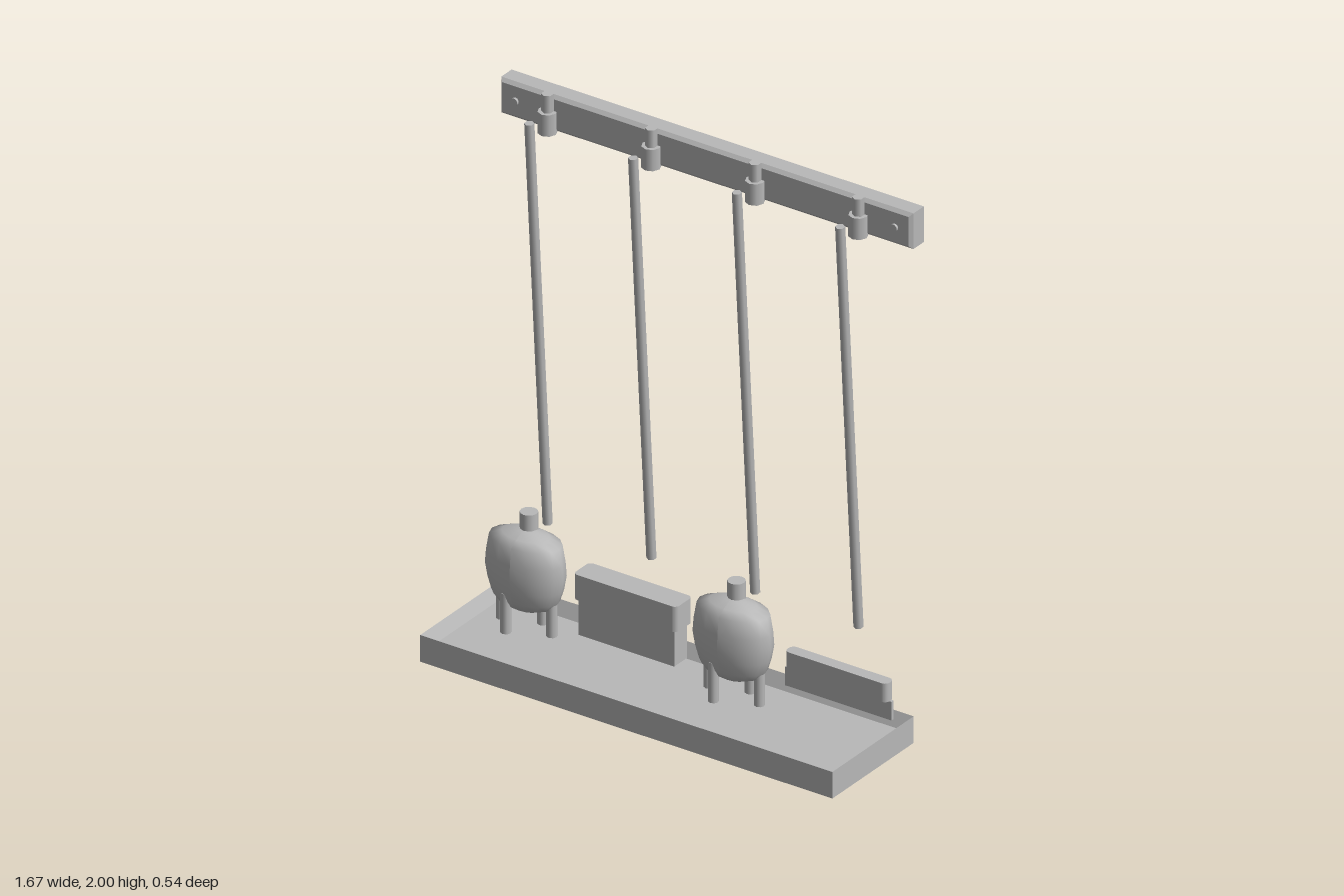
import * as THREE from 'three';

const grey = new THREE.MeshStandardMaterial({ color: 0xb8b8b8 });
grey.name = 'plain grey';

function add(parent, name, geometry, x = 0, y = 0, z = 0) {
  const mesh = new THREE.Mesh(geometry, grey);
  mesh.name = name;
  mesh.position.set(x, y, z);
  parent.add(mesh);
  return mesh;
}

const corners = [[-1, 1], [1, 1], [1, -1], [-1, -1]];

// Closed rectangular skin through rings of [half width, half depth, y],
// running from the top cap outwards, down and back in to the bottom cap
function shell(rings) {
  const pts = [];
  const at = (r, k) => [corners[k % 4][0] * r[0], r[2], corners[k % 4][1] * r[1]];
  const quad = (a, b, c, d) => pts.push(...a, ...b, ...c, ...a, ...c, ...d);
  const first = rings[0], last = rings[rings.length - 1];
  quad(at(first, 0), at(first, 1), at(first, 2), at(first, 3));
  for (let i = 0; i + 1 < rings.length; i++) {
    for (let k = 0; k < 4; k++) {
      quad(at(rings[i], k), at(rings[i + 1], k), at(rings[i + 1], k + 1), at(rings[i], k + 1));
    }
  }
  quad(at(last, 3), at(last, 2), at(last, 1), at(last, 0));
  const g = new THREE.BufferGeometry();
  g.setAttribute('position', new THREE.Float32BufferAttribute(pts, 3));
  g.computeVertexNormals();
  return g;
}

// Bar with rounded vertical corners, standing on its own y = 0
function roundedBar(width, height, depth, radius) {
  const w = width / 2, d = depth / 2, s = new THREE.Shape();
  s.absarc(w - radius, d - radius, radius, 0, Math.PI / 2);
  s.absarc(-w + radius, d - radius, radius, Math.PI / 2, Math.PI);
  s.absarc(-w + radius, -d + radius, radius, Math.PI, Math.PI * 1.5);
  s.absarc(w - radius, -d + radius, radius, Math.PI * 1.5, Math.PI * 2);
  const g = new THREE.ExtrudeGeometry(s, { depth: height, bevelEnabled: false, curveSegments: 4 });
  return g.rotateX(-Math.PI / 2);
}

// Bulging mop head with a socket on top and strands below
function mopHead(x) {
  const mop = new THREE.Group();
  mop.name = 'mopHead';
  mop.position.set(x, 0, -0.05);
  const profile = [[0, 0.12], [0.06, 0.128], [0.105, 0.148], [0.128, 0.175], [0.142, 0.22],
    [0.151, 0.27], [0.147, 0.32], [0.136, 0.382], [0.09, 0.402], [0.04, 0.417], [0, 0.418]]
    .map(p => new THREE.Vector2(p[0], p[1]));
  const body = new THREE.LatheGeometry(profile, 16);
  const pos = body.attributes.position;
  // flatten front to back and square off the sides a little
  for (let i = 0; i < pos.count; i++) {
    pos.setZ(i, pos.getZ(i) * 0.63);
  }
  body.computeVertexNormals();
  add(mop, 'mopBody', body);
  add(mop, 'mopSocket', new THREE.CylinderGeometry(0.031, 0.031, 0.09, 12), 0, 0.432, -0.018);
  for (const [sx, sz] of [[-0.105, -0.01], [-0.035, 0.065], [0.105, 0], [0.03, -0.055]]) {
    add(mop, 'mopStrand', new THREE.CylinderGeometry(0.019, 0.019, 0.15, 8), sx, 0.125, sz);
  }
  return mop;
}

export function createModel() {
  const model = new THREE.Group();
  model.name = 'cleaningToolRack';

  // Drip tray, recessed above and below the floor
  add(model, 'tray', shell([
    [0.807, 0.21, 0.05], [0.83, 0.235, 0.1], [0.83, 0.235, 0], [0.807, 0.21, 0.04],
  ]), -0.005, 0, 0.036);

  // Wall rail with chamfered edges and a hollow back
  const rail = shell([
    [0.818, 0.055, 0.042], [0.83, 0.067, 0.03], [0.83, 0.067, -0.03], [0.818, 0.055, -0.042],
    [0.807, 0.045, -0.042], [0.8, 0.04, 0.025],
  ]);
  rail.rotateX(Math.PI / 2);
  add(model, 'wallRail', rail, -0.005, 1.924, -0.228);

  // Screws at the rail ends
  for (const x of [-0.77, 0.758]) {
    const screw = new THREE.CylinderGeometry(0.014, 0.014, 0.012, 10);
    add(model, 'screw', screw.rotateX(Math.PI / 2), x, 1.924, -0.183);
  }

  // Clips and leaning handles
  const top = new THREE.Vector3(0, 1.935, -0.07);
  const bottom = new THREE.Vector3(0, 0.384, -0.176);
  const lean = top.clone().sub(bottom);
  const middle = top.clone().add(bottom).multiplyScalar(0.5);
  for (const x of [-0.633, -0.215, 0.203, 0.619]) {
    const clip = new THREE.Group();
    clip.name = 'clip';
    clip.position.set(x, 0, -0.175);
    add(clip, 'clipHolder', new THREE.CylinderGeometry(0.034, 0.034, 0.08, 8), 0, 1.895, 0);
    add(clip, 'clipPeg', new THREE.CylinderGeometry(0.021, 0.021, 0.11, 6), 0, 1.945, 0);
    model.add(clip);
    const handle = add(model, 'handle',
      new THREE.CylinderGeometry(0.017, 0.017, lean.length(), 6), x, middle.y, middle.z);
    handle.rotation.x = Math.atan2(lean.z, lean.y);
  }

  model.add(mopHead(-0.633), mopHead(0.203));

  // Broom head: bristle block under a rounded bar
  add(model, 'broomBar', roundedBar(0.416, 0.095, 0.095, 0.018), -0.214, 0.235, -0.067);
  add(model, 'broomBristles', new THREE.BoxGeometry(0.386, 0.136, 0.075), -0.214, 0.168, -0.067);

  // Squeegee head: slim bar with a thin blade
  add(model, 'squeegeeBar', roundedBar(0.412, 0.07, 0.046, 0.02), 0.619, 0.218, -0.065);
  add(model, 'squeegeeBlade', new THREE.BoxGeometry(0.428, 0.07, 0.012), 0.619, 0.184, -0.065);

  return model;
}
